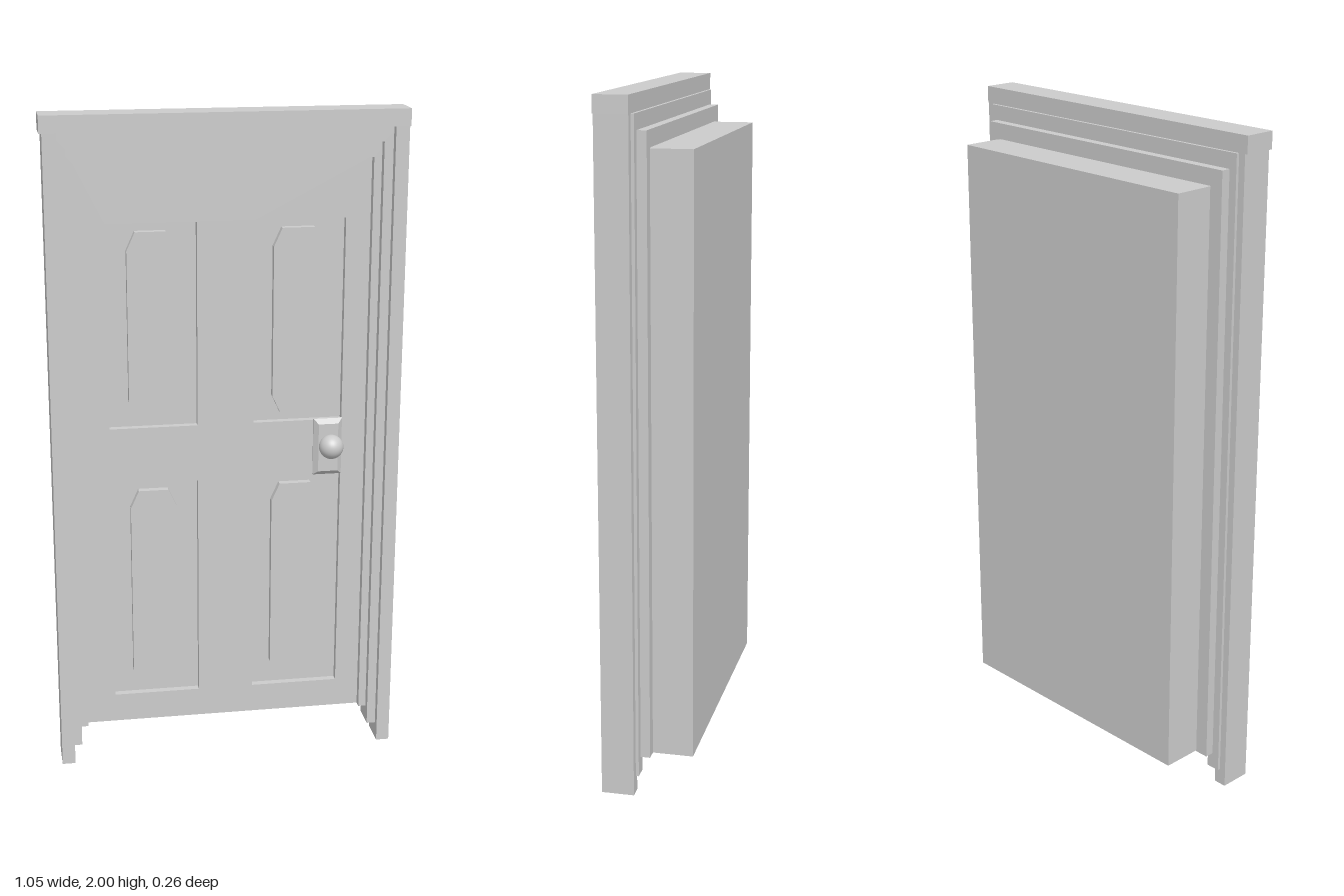
import * as THREE from 'three';

const grey = new THREE.MeshStandardMaterial({ color: 0xcccccc });

function addMesh(parent, name, geometry) {
  const mesh = new THREE.Mesh(geometry, grey);
  mesh.name = name;
  parent.add(mesh);
  return mesh;
}

// Box given by its limits on each axis
function addBox(parent, name, x0, x1, y0, y1, z0, z1) {
  const mesh = addMesh(parent, name, new THREE.BoxGeometry(x1 - x0, y1 - y0, z1 - z0));
  mesh.position.set((x0 + x1) / 2, (y0 + y1) / 2, (z0 + z1) / 2);
  return mesh;
}

function polygon(points, Type = THREE.Shape) {
  return new Type(points.map(([x, y]) => new THREE.Vector2(x, y)));
}

const rect = (x0, x1, y0, y1) => [[x0, y0], [x1, y0], [x1, y1], [x0, y1]];

function addExtrusion(parent, name, shape, z0, z1) {
  const geometry = new THREE.ExtrudeGeometry(shape, { depth: z1 - z0, bevelEnabled: false });
  addMesh(parent, name, geometry).position.z = z0;
}

// Door-shaped trim, open at the bottom
function addTrim(parent, name, outer, inner, bottom, top, innerTop, z0, z1) {
  addExtrusion(parent, name, polygon([
    [-outer, bottom], [-inner, bottom], [-inner, innerTop], [inner, innerTop],
    [inner, bottom], [outer, bottom], [outer, top], [-outer, top],
  ]), z0, z1);
}

export function createModel() {
  const model = new THREE.Group();
  model.name = 'panelledDoor';

  // Outer casing
  const frame = new THREE.Group();
  frame.name = 'doorFrame';
  model.add(frame);
  addBox(frame, 'rightPost', -0.52, -0.48, 0, 1.95, 0.027, 0.123);
  addBox(frame, 'leftPost', 0.483, 0.523, 0, 1.95, 0.027, 0.123);
  addBox(frame, 'lintel', -0.528, 0.526, 1.95, 2, 0.027, 0.125);

  // Two stepped trims inside the casing
  addTrim(frame, 'middleTrim', 0.499, 0.456, 0.05, 1.95, 1.905, 0.018, 0.1);
  addTrim(frame, 'innerTrim', 0.475, 0.433, 0.1, 1.905, 1.857, -0.01, 0.076);

  // Door slab with a front layer cut out for the panels
  const door = new THREE.Group();
  door.name = 'door';
  model.add(door);
  const front = 0.052, recess = 0.03;
  addBox(door, 'slab', -0.43, 0.44, 0.1, 1.855, -0.13, recess);
  const face = polygon(rect(-0.434, 0.434, 0.1, 1.858));

  const columns = [
    { x: [-0.345, -0.08], raised: [-0.285, -0.145] },
    { x: [0.09, 0.36], raised: [0.147, 0.293] },
  ];
  const rows = [
    { y: [0.19, 0.89], raised: [0.215, 0.865] },
    { y: [1.065, 1.68], raised: [1.09, 1.655] },
  ];
  for (const column of columns) {
    for (const row of rows) {
      face.holes.push(polygon(rect(...column.x, ...row.y), THREE.Path));
      // Raised field with cut corners
      const [x0, x1] = column.raised, [y0, y1] = row.raised;
      const cx = 0.025, cy = 0.055;
      addExtrusion(door, 'raisedPanel', polygon([
        [x0 + cx, y0], [x1 - cx, y0], [x1, y0 + cy], [x1, y1 - cy],
        [x1 - cx, y1], [x0 + cx, y1], [x0, y1 - cy], [x0, y0 + cy],
      ]), recess - 0.002, front);
    }
  }
  addExtrusion(door, 'doorFace', face, recess, front);

  // Knob on a bevelled plate
  const handle = new THREE.Group();
  handle.name = 'handle';
  handle.position.set(0.317, 0.98, front);
  model.add(handle);
  const plate = new THREE.ExtrudeGeometry(polygon(rect(-0.03, 0.03, -0.075, 0.075)), {
    depth: 0.004, bevelThickness: 0.014, bevelSize: 0.014, bevelSegments: 1,
  });
  addMesh(handle, 'knobPlate', plate);
  const stem = addMesh(handle, 'knobStem', new THREE.CylinderGeometry(0.016, 0.016, 0.04, 24));
  stem.rotation.x = Math.PI / 2;
  stem.position.set(0.004, 0.01, 0.02);
  const knob = addMesh(handle, 'knob', new THREE.SphereGeometry(0.037, 32, 20));
  knob.position.set(0.004, 0.01, 0.041);

  return model;
}
